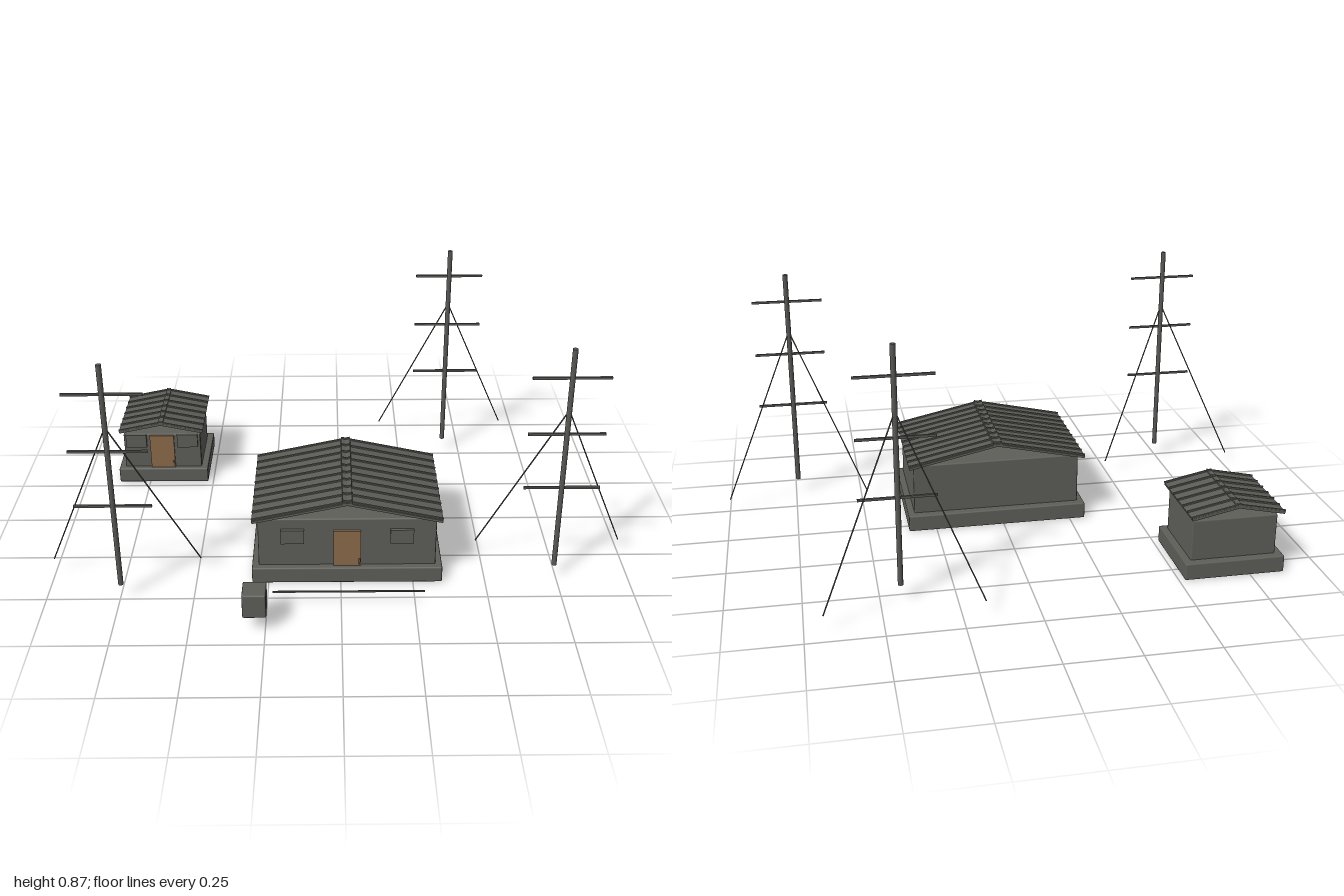
import * as THREE from 'three';
import { RoundedBoxGeometry } from 'three/addons/geometries/RoundedBoxGeometry.js';

const mat = (name, color) => {
  const m = new THREE.MeshStandardMaterial({ color });
  m.name = name;
  return m;
};

export function createModel() {
  const concrete = mat('concrete grey', 0x5e5e59);
  const metal = mat('roof grey', 0x5c5c57);
  const steel = mat('steel grey', 0x585855);
  const wood = mat('door brown', 0x8b6a4a);
  const root = new THREE.Group();
  root.name = 'compound';

  function add(parent, name, geo, material, x, y, z) {
    const mesh = new THREE.Mesh(geo, material);
    mesh.name = name;
    mesh.position.set(x, y, z);
    parent.add(mesh);
    return mesh;
  }
  const box = (w, h, d) => new THREE.BoxGeometry(w, h, d);
  const block = (w, h, d) => new RoundedBoxGeometry(w, h, d, 1, 0.005);

  // Round bar between two points
  function bar(parent, name, a, b, r, sides, material) {
    const dir = b.clone().sub(a);
    const mid = a.clone().add(b).multiplyScalar(0.5);
    const mesh = add(parent, name, new THREE.CylinderGeometry(r, r, dir.length(), sides), material, mid.x, mid.y, mid.z);
    mesh.quaternion.setFromUnitVectors(new THREE.Vector3(0, 1, 0), dir.normalize());
  }

  // Hut on a plinth with an open-gabled ribbed roof
  function hut(o) {
    const g = new THREE.Group();
    g.name = o.name;
    g.position.set(o.x, 0, o.z);
    root.add(g);
    add(g, 'plinth', block(o.baseW, 0.06, o.baseD), concrete, 0, 0.03, 0);
    const wallH = o.wallTop - 0.055;
    add(g, 'walls', block(o.wallW, wallH, o.wallD), concrete, 0, 0.055 + wallH / 2, o.wallZ);
    const front = o.wallZ + o.wallD / 2;
    add(g, 'door', box(0.094, 0.14, 0.009), wood, 0, 0.13, front + 0.004);
    add(g, 'doorHandle', box(0.006, 0.022, 0.006), steel, 0.042, 0.078, front + 0.01);
    for (const s of [-1, 1]) {
      add(g, 'window', box(0.08, 0.054, 0.012), concrete, s * o.windowX, 0.178, front + 0.005);

      // Roof half: slab and ribs, running slightly past the ridge
      const slope = new THREE.Group();
      slope.name = 'roofHalf';
      const angle = Math.atan2(o.ridge - o.eave, o.roofHalf);
      const length = (o.roofHalf + o.overlap) / Math.cos(angle);
      slope.position.set(s * (o.roofHalf - o.overlap) / 2, (o.eave + o.ridge + o.overlap * Math.tan(angle)) / 2, 0);
      slope.rotation.z = -s * angle;
      g.add(slope);
      add(slope, 'roofSlab', box(length, 0.009, o.baseD), metal, 0, 0, 0);
      for (let i = 0; i < o.ribs; i++) {
        const z = (i - (o.ribs - 1) / 2) * 0.049;
        add(slope, 'roofRib', box(length, 0.007, 0.007), metal, 0, 0.006, z);
      }
    }
  }

  hut({ name: 'mainHut', x: 0.022, z: 0.182, baseW: 0.658, baseD: 0.459, wallW: 0.612, wallD: 0.405, wallZ: 0.003,
    wallTop: 0.245, windowX: 0.188, roofHalf: 0.324, eave: 0.246, ridge: 0.316, overlap: 0.017, ribs: 10 });
  hut({ name: 'smallHut', x: -0.695, z: -0.431, baseW: 0.35, baseD: 0.302, wallW: 0.3, wallD: 0.253, wallZ: 0.004,
    wallTop: 0.205, windowX: 0.1, roofHalf: 0.162, eave: 0.223, ridge: 0.257, overlap: 0.01, ribs: 7 });

  // Masts with three cross arms and two guy wires
  for (const [x, z] of [[-0.745, 0.49], [0.432, -0.533], [0.74, 0.388]]) {
    const g = new THREE.Group();
    g.name = 'mast';
    g.position.set(x, 0, z);
    root.add(g);
    const v = (a, b, c) => new THREE.Vector3(a, b, c);
    bar(g, 'pole', v(0, 0.055, 0), v(0, 0.873, 0), 0.009, 12, steel);
    for (const y of [0.365, 0.568, 0.771]) add(g, 'crossArm', box(0.256, 0.008, 0.008), steel, 0, y, 0);
    for (const s of [-1, 1]) bar(g, 'guyWire', v(0, 0.655, 0), v(s * 0.256, 0.055, -0.154), 0.0024, 6, steel);
  }

  // Loose items in the yard
  add(root, 'crate', block(0.078, 0.088, 0.082), concrete, -0.284, 0.1, 0.644);
  add(root, 'groundRail', box(0.51, 0.005, 0.005), steel, 0.025, 0.056, 0.541);
  return root;
}
